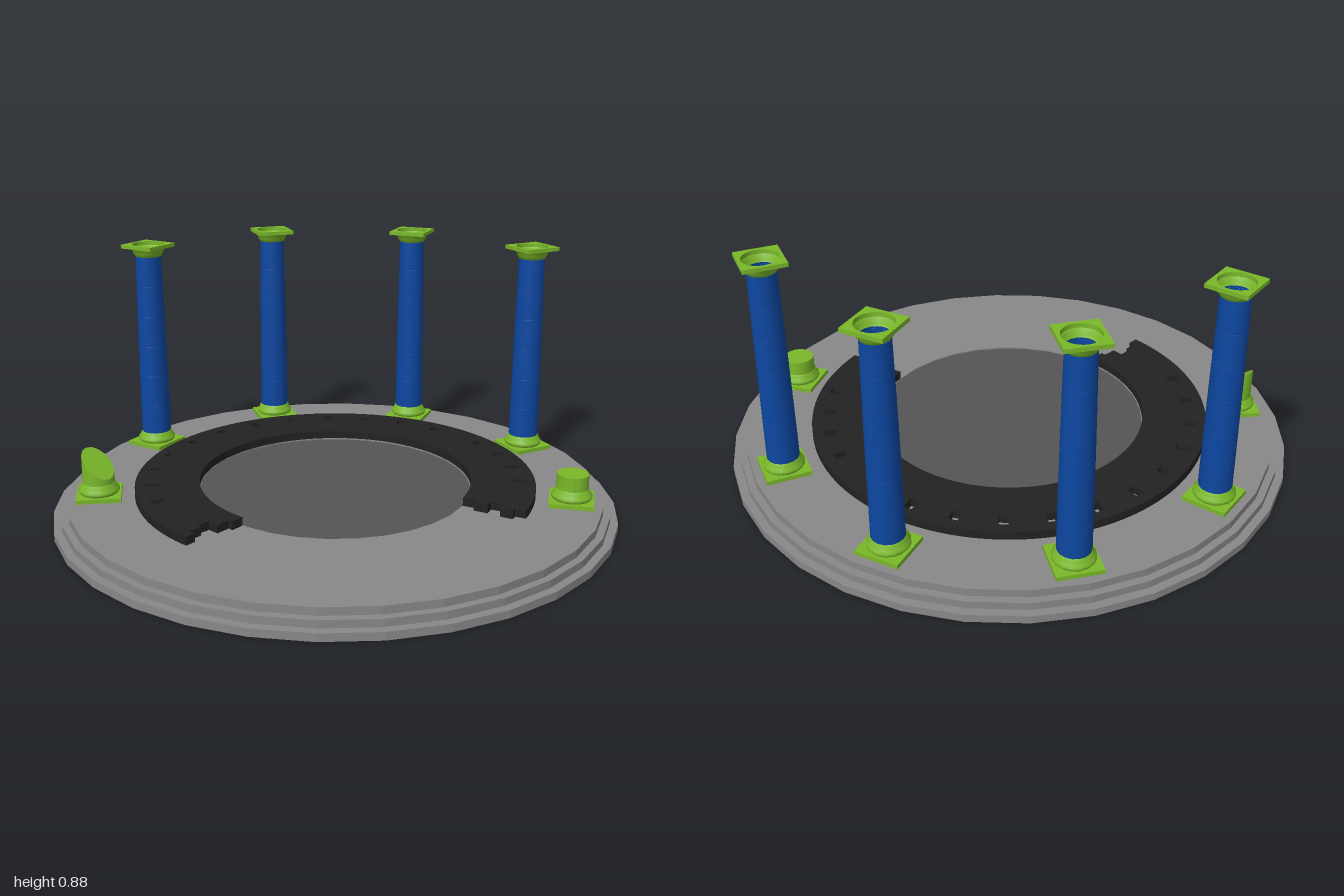
import * as THREE from 'three';

const material = (color, flatShading = false) =>
  new THREE.MeshStandardMaterial({ color, flatShading, side: THREE.DoubleSide });
const stone = material(0x888888, true);
const floorGrey = material(0x555555);
const dark = material(0x222222, true);
const green = material(0x7ab82a);
const blue = material(0x0d47a1);

const rad = THREE.MathUtils.degToRad;

function add(parent, name, geometry, mat) {
  const mesh = new THREE.Mesh(geometry, mat);
  mesh.name = name;
  parent.add(mesh);
  return mesh;
}

function lathe(points, sides) {
  return new THREE.LatheGeometry(points.map(([r, y]) => new THREE.Vector2(r, y)), sides);
}

// Lays a shape flat, filling heights y0 to y1
function slab(shape, y0, y1, curveSegments = 12) {
  const g = new THREE.ExtrudeGeometry(shape, { depth: y1 - y0, bevelEnabled: false, curveSegments });
  return g.rotateX(Math.PI / 2).translate(0, y1, 0);
}

// Curved block between two radii and two angles in degrees (0 = +x, 90 = +z)
function sector(r0, r1, a0, a1, y0, y1) {
  const shape = new THREE.Shape();
  shape.absarc(0, 0, r1, rad(a0), rad(a1), false);
  shape.absarc(0, 0, r0, rad(a1), rad(a0), true);
  shape.closePath();
  return slab(shape, y0, y1, Math.max(2, Math.ceil((a1 - a0) / 5)));
}

// Square slab with a round hole
function squareRing(size, hole, y0, y1) {
  const h = size / 2;
  const shape = new THREE.Shape([[-h, -h], [h, -h], [h, h], [-h, h]].map(p => new THREE.Vector2(...p)));
  const path = new THREE.Path();
  path.absarc(0, 0, hole, 0, Math.PI * 2, true);
  shape.holes.push(path);
  return slab(shape, y0, y1, 16);
}

function columnBase(column) {
  add(column, 'plinth', squareRing(0.155, 0.052, 0.08, 0.095), green);
  add(column, 'baseMoulding', lathe([
    [0.066, 0.095], [0.071, 0.101], [0.071, 0.11], [0.064, 0.116], [0.062, 0.125], [0.056, 0.134],
  ], 16), green);
}

function fullColumn(column) {
  // Hollow shaft of six tapering drums
  const drums = 6, y0 = 0.13, y1 = 0.838;
  const radius = t => 0.056 - 0.004 * t - 0.004 * t * t;
  for (let i = 0; i < drums; i++) {
    const a = i / drums, b = (i + 1) / drums;
    const ya = y0 + (y1 - y0) * a, yb = y0 + (y1 - y0) * b;
    add(column, 'shaftDrum' + (i + 1), lathe([
      [radius(a) - 0.001, ya], [radius(a), ya + 0.003], [radius(b), yb - 0.003], [radius(b) - 0.001, yb],
    ], 16), blue);
  }
  add(column, 'capitalMoulding', lathe([
    [0.048, 0.83], [0.052, 0.836], [0.056, 0.842], [0.058, 0.85], [0.066, 0.862],
  ], 16), green);
  add(column, 'abacus', squareRing(0.143, 0.06, 0.862, 0.876), green);
}

// Solid stump whose top may be cut along a diagonal slope
function stump(column, top, slope) {
  const g = new THREE.CylinderGeometry(0.055, 0.056, top - 0.12, 16, 1);
  g.translate(0, (top + 0.12) / 2, 0);
  const p = g.attributes.position;
  for (let i = 0; i < p.count; i++) {
    if (p.getY(i) > top - 0.001) p.setY(i, top + slope * (p.getX(i) + p.getZ(i)) * Math.SQRT1_2);
  }
  g.computeVertexNormals();
  add(column, 'brokenShaft', g, green);
}

export function createModel() {
  const model = new THREE.Group();
  model.name = 'ruinedColumnCircle';

  // Stepped round platform, open underneath
  add(model, 'steppedPlatform', lathe([
    [1, 0], [1, 0.027], [0.972, 0.027], [0.972, 0.053], [0.947, 0.053],
    [0.947, 0.08], [0.486, 0.08], [0.486, 0.074],
  ], 32), stone);
  add(model, 'centralFloor', new THREE.CircleGeometry(0.488, 64).rotateX(-Math.PI / 2).translate(0, 0.075, 0), floorGrey);

  // Dark paved arc: concentric courses with ragged ends
  const paving = new THREE.Group();
  paving.name = 'pavedArc';
  model.add(paving);
  const y0 = 0.077, y1 = 0.11;
  [
    [0.487, 0.535, 137, 394], [0.535, 0.585, 139, 396.5],
    [0.585, 0.632, 143, 393], [0.677, 0.715, 139.5, 395],
  ].forEach(c => add(paving, 'pavingCourse', sector(...c, y0, y1), dark));

  // Course pierced by square sockets
  const sockets = [];
  for (let i = 0; i < 12; i++) sockets.push(166 + i * 13.65);
  for (let i = 3; i >= 0; i--) sockets.push(373 - i * 12.3);
  let start = 141.5;
  const half = 1.4;
  for (const s of sockets) {
    add(paving, 'socketCourse', sector(0.632, 0.677, start, s - half, y0, y1), dark);
    start = s + half;
  }
  add(paving, 'socketCourse', sector(0.632, 0.677, start, 397, y0, y1), dark);

  // Six columns, 40 degrees apart; the two end ones are broken
  for (let i = 0; i < 6; i++) {
    const a = rad(20 - 40 * i);
    const column = new THREE.Group();
    column.name = i === 0 || i === 5 ? 'brokenColumn' : 'column';
    column.position.set(0.838 * Math.cos(a), 0, 0.838 * Math.sin(a));
    column.rotation.y = -a;
    columnBase(column);
    if (i === 0) stump(column, 0.185, 0);
    else if (i === 5) stump(column, 0.2, 0.85);
    else fullColumn(column);
    model.add(column);
  }
  return model;
}
